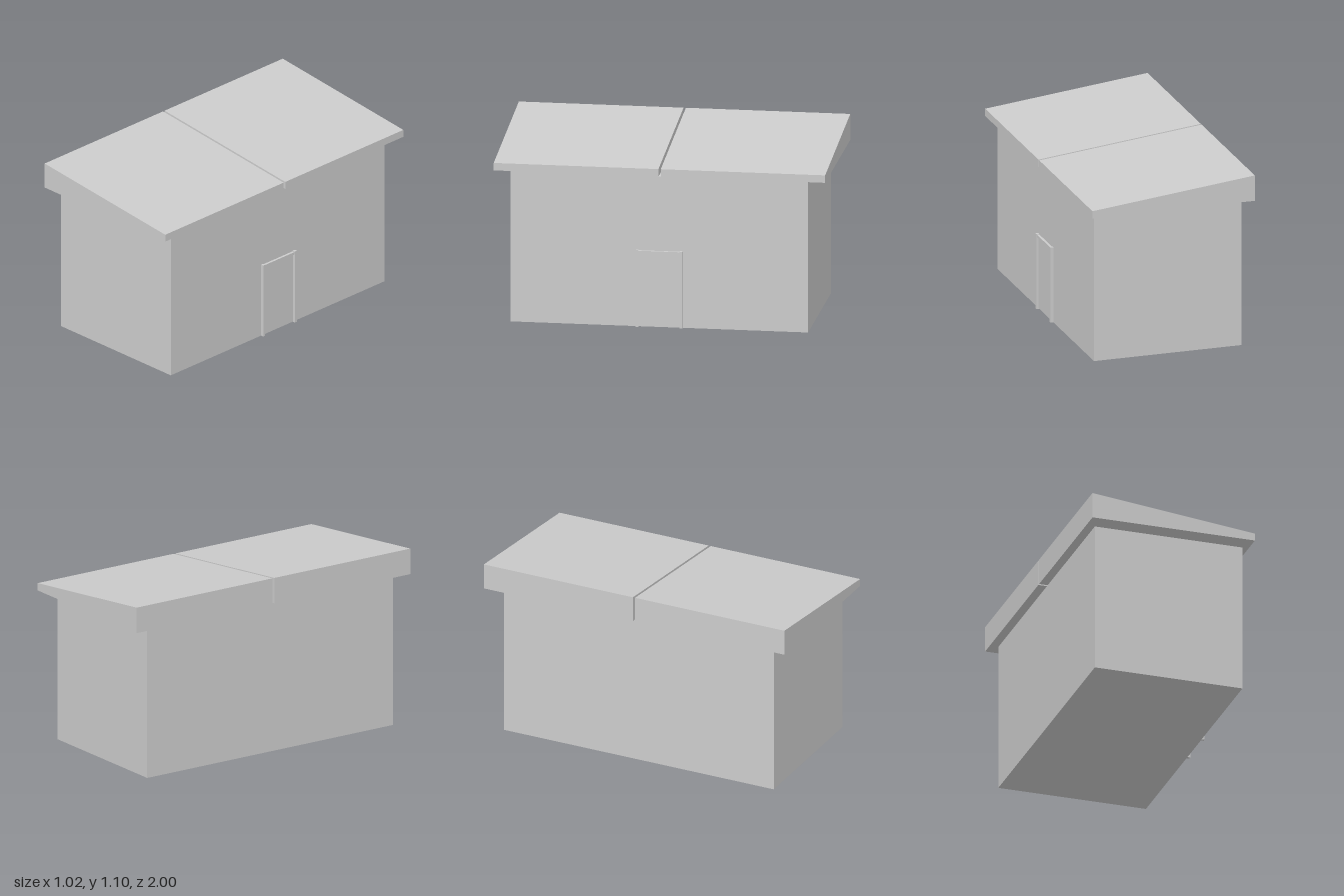
import * as THREE from 'three';

const material = new THREE.MeshStandardMaterial({ color: 0xcccccc, flatShading: true });

// Box given by its minimum and maximum corners
function box(name, [x0, y0, z0], [x1, y1, z1]) {
  const mesh = new THREE.Mesh(new THREE.BoxGeometry(x1 - x0, y1 - y0, z1 - z0), material);
  mesh.position.set((x0 + x1) / 2, (y0 + y1) / 2, (z0 + z1) / 2);
  mesh.name = name;
  return mesh;
}

// Wedge-shaped roof slab running from z0 to z1
function roofPanel(name, z0, z1) {
  const profile = new THREE.Shape([
    new THREE.Vector2(-0.513, 0.94),
    new THREE.Vector2(0.51, 0.94),
    new THREE.Vector2(0.51, 0.986),
    new THREE.Vector2(-0.513, 1.1),
  ]);
  const geometry = new THREE.ExtrudeGeometry(profile, { depth: z1 - z0, bevelEnabled: false });
  const mesh = new THREE.Mesh(geometry, material);
  mesh.position.z = z0;
  mesh.name = name;
  return mesh;
}

export function createModel() {
  const model = new THREE.Group();
  model.name = 'shed';

  // Main body
  model.add(box('walls', [-0.467, 0, -0.89], [0.463, 0.928, 0.907]));

  // Two roof slabs with a narrow gap between them
  model.add(roofPanel('frontRoof', 0.006, 1), roofPanel('backRoof', -1, -0.008));

  // Door with its frame on the +x wall
  const door = new THREE.Group();
  door.name = 'door';
  door.add(
    box('frontPost', [0.46, 0, 0.132], [0.481, 0.473, 0.148]),
    box('backPost', [0.46, 0, -0.135], [0.481, 0.473, -0.117]),
    box('lintel', [0.46, 0.452, -0.117], [0.478, 0.469, 0.132]),
    box('doorPanel', [0.46, 0.004, -0.117], [0.466, 0.452, 0.132]),
  );
  model.add(door);

  return model;
}
